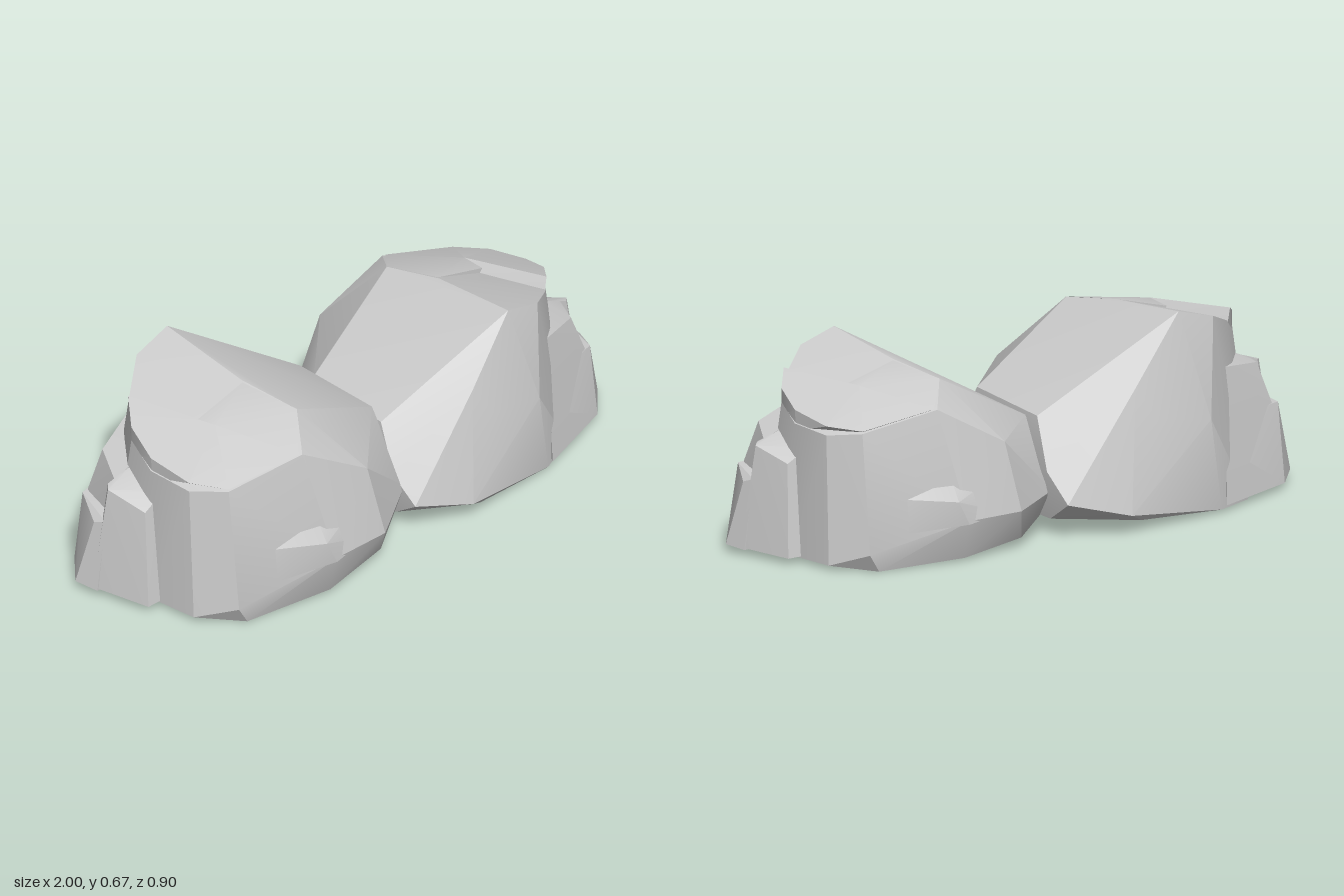
import * as THREE from 'three';
import { ConvexGeometry } from 'three/addons/geometries/ConvexGeometry.js';
import { toCreasedNormals } from 'three/addons/utils/BufferGeometryUtils.js';

const material = new THREE.MeshStandardMaterial({ color: 0xcccccc });

// A chiselled chunk of stone: the convex hull of its corners
function chunk(name, corners) {
  const hull = new ConvexGeometry(corners.map(c => new THREE.Vector3(...c)));
  const mesh = new THREE.Mesh(toCreasedNormals(hull, 0.42), material);
  mesh.name = name;
  return mesh;
}

function createRock(name) {
  const rock = new THREE.Group();
  rock.name = name;

  rock.add(chunk('boulderBody', [
    // ridge
    [0.46, 0.63, 0.31], [0.47, 0.595, -0.02], [0.43, 0.565, -0.22], [0.53, 0.505, -0.345],
    // outer rim of the top
    [0.78, 0.45, -0.28], [0.85, 0.435, -0.18], [0.865, 0.445, -0.03],
    [0.83, 0.485, 0.09], [0.72, 0.54, 0.21], [0.6, 0.592, 0.3],
    // inner slope
    [0.01, 0.35, 0.19], [0.03, 0.365, -0.14], [0.29, 0.37, -0.383],
    // front wall
    [0.27, 0.43, 0.345], [0.33, 0.33, 0.375], [0.53, 0.3, 0.383],
    // inner end and flanks
    [0.0, 0.11, 0.36], [-0.02, 0.2, 0.28], [0.02, 0.14, -0.27],
    [0.25, 0.14, -0.42], [0.46, 0.14, -0.42], [0.2, 0.06, 0.42],
    // foot
    [0.0, 0.05, 0.27], [0.03, 0.05, -0.22], [0.2, 0.03, -0.35], [0.45, 0.01, -0.385],
    [0.75, 0, -0.33], [0.79, 0.06, -0.335], [0.87, 0.015, -0.22], [0.89, 0.015, -0.05],
    [0.87, 0.01, 0.14], [0.74, 0, 0.29], [0.58, 0.01, 0.37], [0.25, 0.035, 0.4],
  ]));

  // Raised layer on the top: two slabs around a stepped corner
  rock.add(chunk('topLayerBack', [
    [0.475, 0.592, -0.03], [0.66, 0.553, -0.1], [0.63, 0.5, -0.065],
    [0.43, 0.566, -0.22], [0.54, 0.507, -0.34], [0.78, 0.458, -0.28],
    [0.85, 0.465, -0.18], [0.865, 0.49, -0.03], [0.86, 0.42, -0.03], [0.7, 0.42, -0.2],
  ]));
  rock.add(chunk('topLayerSide', [
    [0.66, 0.553, -0.1], [0.63, 0.5, -0.065], [0.755, 0.568, 0.18], [0.725, 0.5, 0.2],
    [0.83, 0.53, 0.09], [0.865, 0.49, -0.03], [0.85, 0.465, -0.18],
    [0.83, 0.44, 0.09], [0.86, 0.42, -0.03],
  ]));

  // Tall part of the stepped side
  rock.add(chunk('sideLedge', [
    [0.82, 0.36, -0.04], [0.905, 0.32, -0.045], [0.94, 0.36, 0.08], [0.82, 0.4, 0.09],
    [0.85, 0.02, -0.09], [0.935, 0.02, -0.09], [0.985, 0.025, 0.1], [0.85, 0.02, 0.12],
    [0.92, 0.365, 0.1],
  ]));

  // Low part below the notch
  rock.add(chunk('notchFloor', [
    [0.95, 0.25, 0.08], [0.96, 0.235, 0.12], [0.9, 0.265, 0.23], [0.75, 0.26, 0.1],
    [0.985, 0.02, 0.08], [1, 0.025, 0.16], [0.9, 0.02, 0.265], [0.62, 0.02, 0.36],
    [0.7, 0.26, 0.28], [0.7, 0.02, 0.1],
  ]));

  // Tapering ledge above and beyond the notch
  rock.add(chunk('cornerLedge', [
    [0.66, 0.42, 0.28], [0.83, 0.395, 0.215], [0.9, 0.37, 0.09], [0.83, 0.4, 0.09],
    [0.75, 0.4, 0.15], [0.91, 0.25, 0.09], [0.88, 0.25, 0.235],
    [0.9, 0.02, 0.265], [0.6, 0.02, 0.37], [0.75, 0.02, 0.15],
  ]));

  // Shallow shelf on the back flank
  rock.add(chunk('backShelf', [
    [0.36, 0.25, -0.385], [0.66, 0.23, -0.36], [0.5, 0.275, -0.38],
    [0.5, 0.21, -0.422], [0.46, 0.13, -0.425], [0.66, 0.12, -0.37], [0.3, 0.14, -0.4],
  ]));
  return rock;
}

export function createModel() {
  const model = new THREE.Group();
  model.name = 'rockPair';

  const rightHand = createRock('lowerRock');

  // The same rock turned half round and slightly enlarged
  const leftHand = createRock('tallerRock');
  leftHand.rotation.y = Math.PI;
  leftHand.scale.set(1.04, 1.07, 1.07);
  leftHand.position.set(0.04, 0, 0);

  model.add(rightHand, leftHand);
  return model;
}
